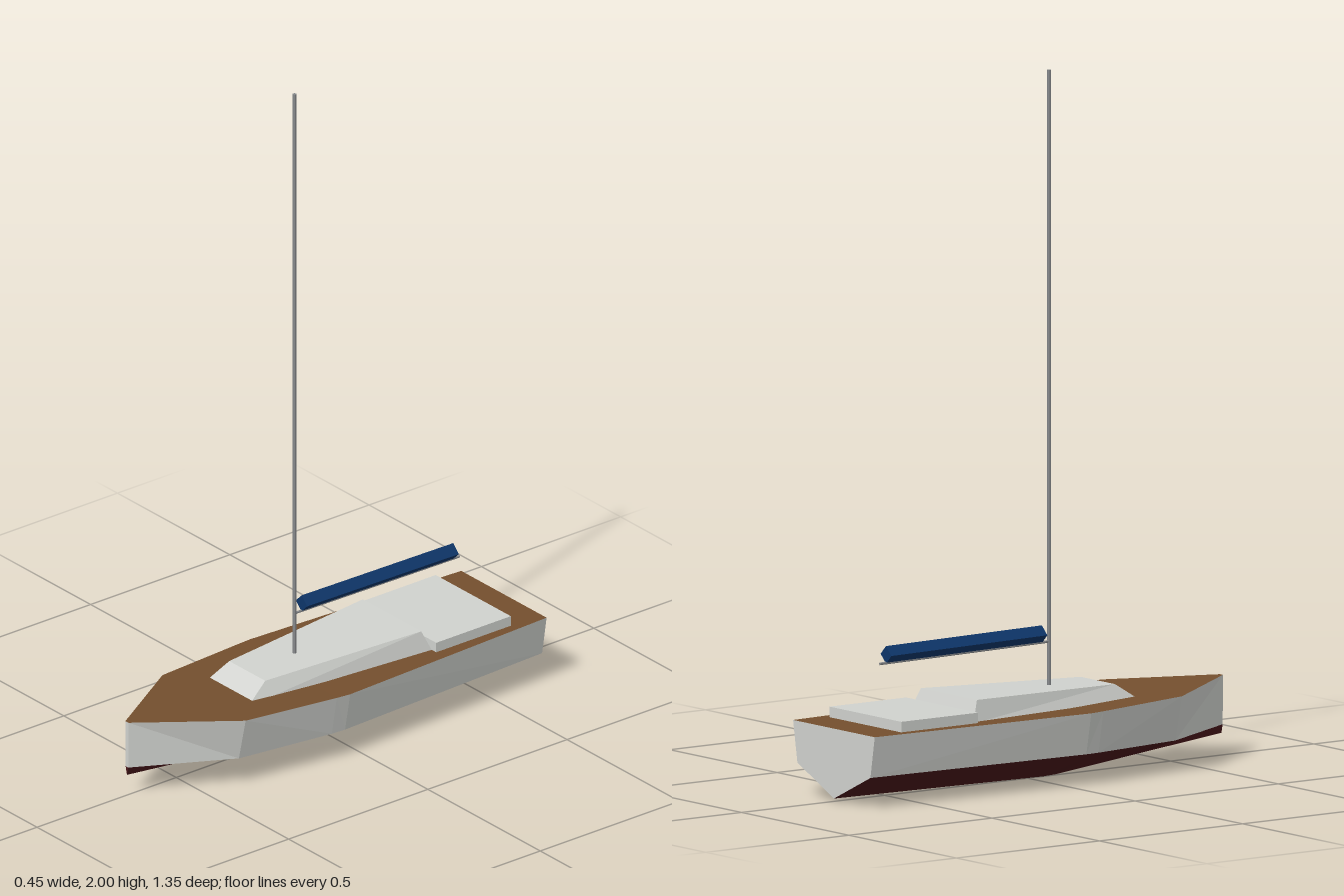
import * as THREE from 'three';

const mat = (name, color) => {
  const m = new THREE.MeshStandardMaterial({ color, flatShading: true });
  m.name = name;
  return m;
};

// Flat-shaded mesh from quads, each given counter-clockwise from outside
function quadMesh(name, quads, material) {
  const pos = [];
  for (const [a, b, c, d] of quads) pos.push(...a, ...b, ...c, ...a, ...c, ...d);
  const geo = new THREE.BufferGeometry();
  geo.setAttribute('position', new THREE.Float32BufferAttribute(pos, 3));
  geo.computeVertexNormals();
  const mesh = new THREE.Mesh(geo, material);
  mesh.name = name;
  return mesh;
}

export function createModel() {
  const boat = new THREE.Group();
  boat.name = 'sailboat';
  const white = mat('white paint', 0xd0d2ce);
  const wood = mat('deck wood', 0x744f2e);
  const red = mat('bottom paint', 0x481619);
  const blue = mat('sail cover blue', 0x0d3569);
  const metal = mat('mast metal', 0x85878a);

  // Hull stations, stern to bow: z, deck half width, deck y, chine half width, keel y
  const stations = [
    [-0.677, 0.19, 0.208, 0.17, 0.010],
    [0.055, 0.223, 0.209, 0.2, 0.002],
    [0.1, 0.219, 0.210, 0.197, 0.004],
    [0.4, 0.185, 0.219, 0.155, 0.036],
    [0.677, 0.007, 0.230, 0.006, 0.065],
  ].map(([z, w, y, c, k]) => ({
    deckL: [w, y, z], deckR: [-w, y, z],
    chineL: [c, 0.09, z], chineR: [-c, 0.09, z],
    keel: [0, k, z],
  }));
  const sides = [], bottom = [], deck = [];
  for (let i = 0; i < stations.length - 1; i++) {
    const a = stations[i], b = stations[i + 1];
    sides.push([a.chineL, a.deckL, b.deckL, b.chineL], [a.chineR, b.chineR, b.deckR, a.deckR]);
    bottom.push([a.keel, a.chineL, b.chineL, b.keel], [a.keel, b.keel, b.chineR, a.chineR]);
    deck.push([a.deckL, a.deckR, b.deckR, b.deckL]);
  }
  // Transom and narrow stem
  const stern = stations[0], bow = stations[stations.length - 1];
  sides.push([stern.deckR, stern.deckL, stern.chineL, stern.chineR]);
  sides.push([stern.chineR, stern.chineL, stern.keel, stern.keel]);
  sides.push([bow.chineR, bow.chineL, bow.deckL, bow.deckR]);
  bottom.push([bow.chineL, bow.chineR, bow.keel, bow.keel]);
  boat.add(quadMesh('hullSides', sides, white));
  boat.add(quadMesh('hullBottom', bottom, red));
  boat.add(quadMesh('deck', deck, wood));

  // Cabin: a box with its corners drawn in towards the top and the bow
  const cabinGeo = new THREE.BoxGeometry(2, 2, 2);
  const p = cabinGeo.attributes.position;
  for (let i = 0; i < p.count; i++) {
    const top = p.getY(i) > 0, fore = p.getZ(i) > 0;
    const w = fore ? (top ? 0.08 : 0.098) : (top ? 0.13 : 0.148);
    const y = top ? (fore ? 0.255 : 0.267) : 0.205;
    const z = fore ? (top ? 0.245 : 0.32) : (top ? -0.275 : -0.3);
    p.setXYZ(i, Math.sign(p.getX(i)) * w, y, z);
  }
  cabinGeo.computeVertexNormals();
  const cabin = new THREE.Mesh(cabinGeo, white);
  cabin.name = 'cabin';
  boat.add(cabin);

  // Raised cockpit box
  const cockpit = new THREE.Mesh(new THREE.BoxGeometry(0.334, 0.045, 0.268), white);
  cockpit.name = 'cockpit';
  cockpit.position.set(0, 0.2155, -0.433);
  boat.add(cockpit);

  // Mast
  const mast = new THREE.Mesh(new THREE.CylinderGeometry(0.006, 0.006, 1.77, 6), metal);
  mast.name = 'mast';
  mast.position.set(0, 1.115, 0.075);
  boat.add(mast);

  // Boom and furled sail, both dropping slightly aft
  const spar = (name, radius, sidesCount, y, z0, z1, material) => {
    const geo = new THREE.CylinderGeometry(radius, radius, z0 - z1, sidesCount);
    const mesh = new THREE.Mesh(geo, material);
    mesh.name = name;
    mesh.rotation.x = Math.PI / 2 - 0.011;
    mesh.position.set(0, y, (z0 + z1) / 2);
    boat.add(mesh);
  };
  spar('boom', 0.004, 6, 0.379, 0.075, -0.517, metal);
  spar('sailCover', 0.025, 4, 0.402, 0.05, -0.495, blue);

  return boat;
}
